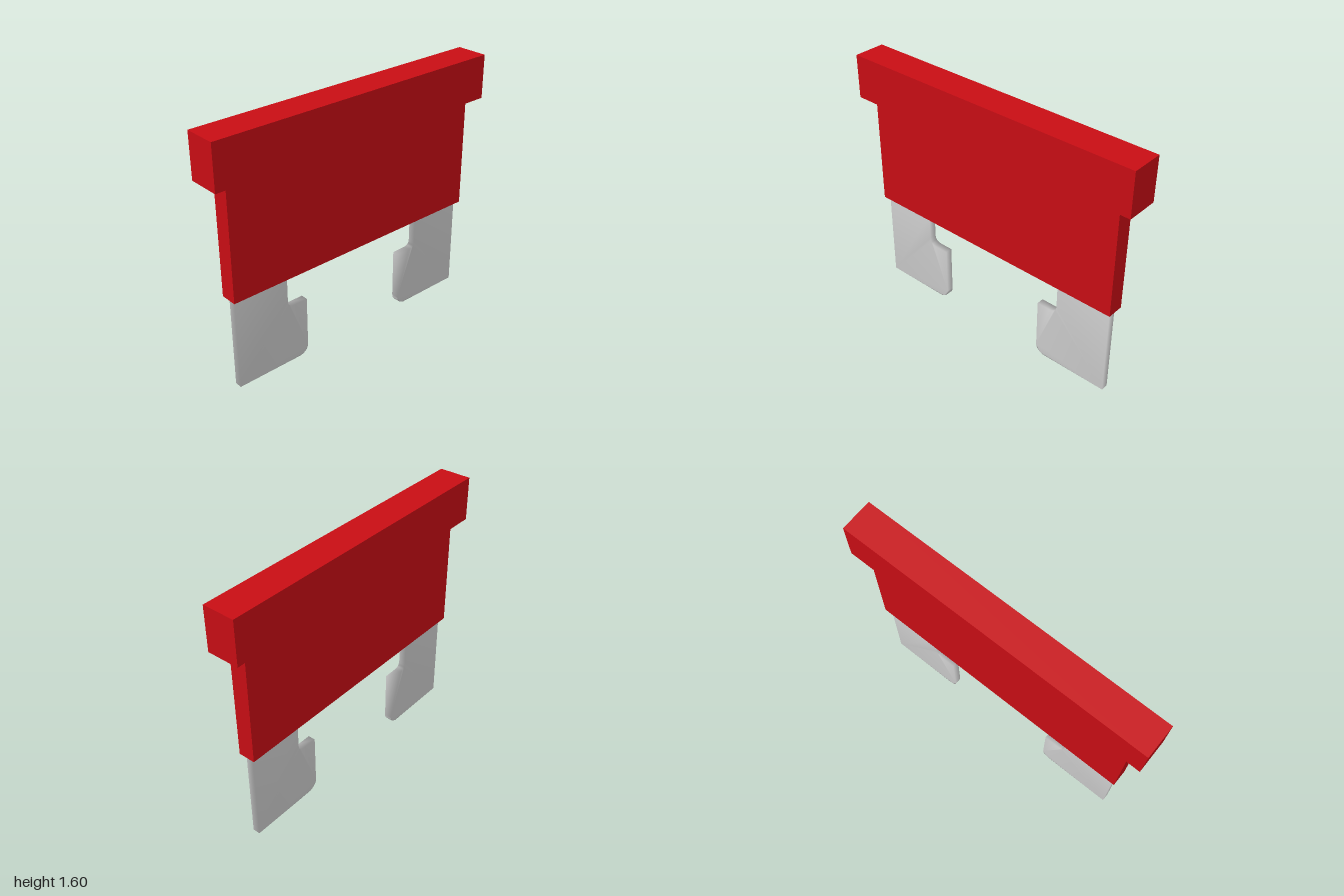
import * as THREE from 'three';
import { mergeVertices } from 'three/addons/utils/BufferGeometryUtils.js';

// Flat metal prong: profile drawn in (z, y), then turned to lie in the zy plane
function bladeGeometry(thickness) {
  const s = new THREE.Shape();
  s.moveTo(0.885, 0);
  s.lineTo(0.885, 0.6);
  s.lineTo(0.52, 0.6);
  s.lineTo(0.52, 0.43);
  s.quadraticCurveTo(0.52, 0.385, 0.47, 0.385); // fillet of the notch
  s.lineTo(0.38, 0.385);
  s.lineTo(0.38, 0.06);
  s.quadraticCurveTo(0.38, 0.015, 0.435, 0); // rounded inner toe
  s.closePath();
  const g = new THREE.ExtrudeGeometry(s, { depth: thickness, bevelEnabled: false, curveSegments: 5 });
  g.translate(0, 0, -thickness / 2);
  g.rotateY(-Math.PI / 2);
  // Shared vertices give the soft shading across the edges
  g.deleteAttribute('normal');
  g.deleteAttribute('uv');
  const smooth = mergeVertices(g);
  smooth.computeVertexNormals();
  return smooth;
}

export function createModel() {
  const model = new THREE.Group();
  model.name = 'bladeFuse';
  const plastic = new THREE.MeshStandardMaterial({ color: 0xc80d14 });
  const metal = new THREE.MeshStandardMaterial({ color: 0xcccccc });

  const addBlock = (name, width, length, y0, y1) => {
    const mesh = new THREE.Mesh(new THREE.BoxGeometry(width, y1 - y0, length), plastic);
    mesh.name = name;
    mesh.position.y = (y0 + y1) / 2;
    model.add(mesh);
  };

  // Plastic housing
  addBlock('cap', 0.206, 2, 1.32, 1.6);
  addBlock('body', 0.108, 1.812, 0.6, 1.32);

  // Two prongs facing each other
  const blade = bladeGeometry(0.047);
  [['frontBlade', 0], ['backBlade', Math.PI]].forEach(([name, turn]) => {
    const mesh = new THREE.Mesh(blade, metal);
    mesh.name = name;
    mesh.rotation.y = turn;
    model.add(mesh);
  });
  return model;
}
